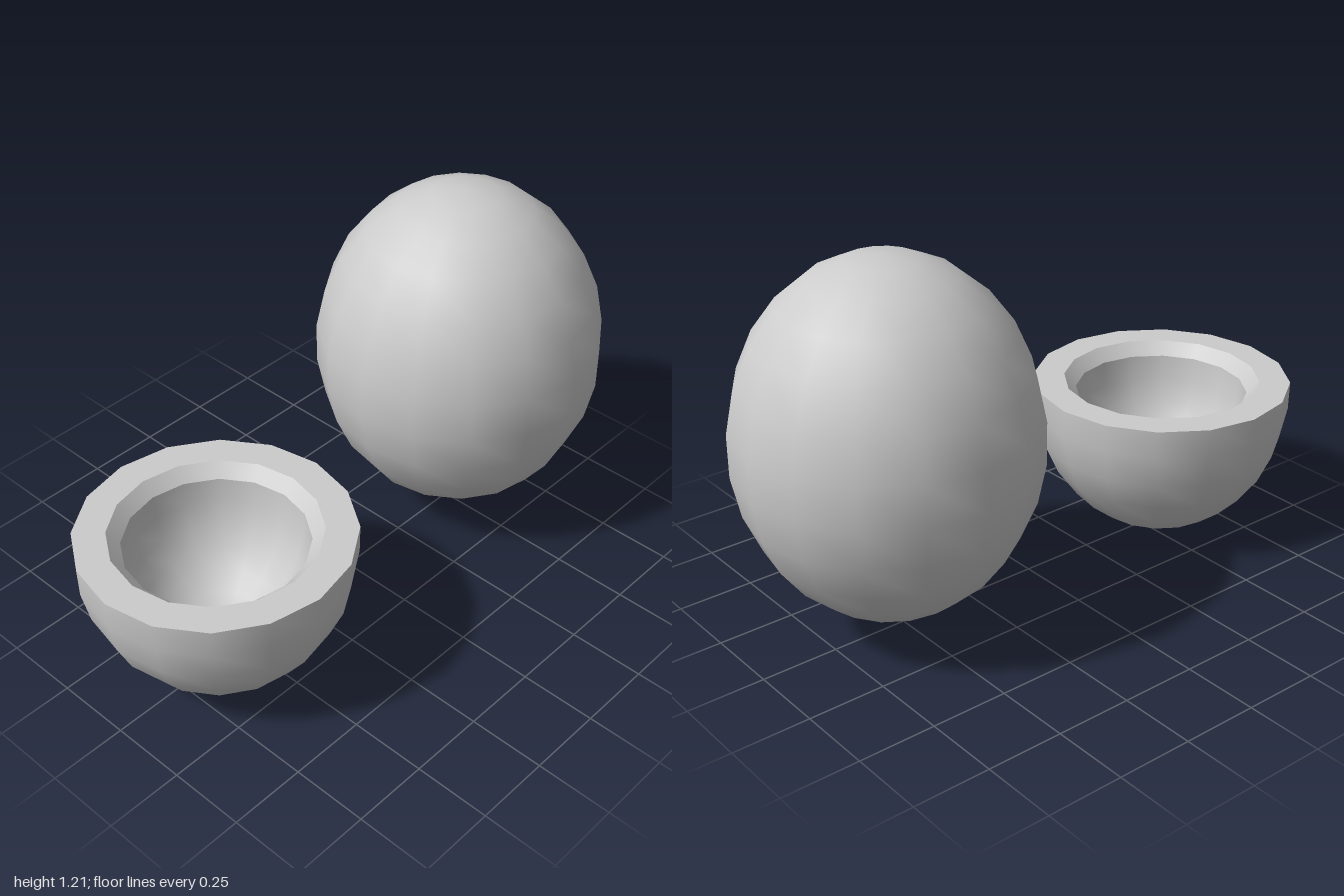
import * as THREE from 'three';

const SIDES = 16;

export function createModel() {
  const model = new THREE.Group();
  const material = new THREE.MeshStandardMaterial({ color: 0xcccccc });

  // Whole egg: a stretched sphere standing behind the cup
  const eggGeometry = new THREE.SphereGeometry(0.47, SIDES, 13);
  eggGeometry.scale(1, 0.565 / 0.47, 1);
  const egg = new THREE.Mesh(eggGeometry, material);
  egg.name = 'egg';
  egg.position.set(0, 0.645, -0.53);
  model.add(egg);

  // Half shell: separate lathes keep the edges between its surfaces sharp
  const halfShell = new THREE.Group();
  halfShell.name = 'halfShell';
  halfShell.position.z = 0.573;
  model.add(halfShell);

  const addLathe = (name, profile) => {
    const points = profile.map(([r, y]) => new THREE.Vector2(r, y));
    const mesh = new THREE.Mesh(new THREE.LatheGeometry(points, SIDES), material);
    mesh.name = name;
    halfShell.add(mesh);
  };

  addLathe('outerShell', [
    [0, 0], [0.105, 0.015], [0.205, 0.062], [0.291, 0.13],
    [0.358, 0.222], [0.402, 0.32], [0.425, 0.43], [0.427, 0.525],
  ]);
  addLathe('rim', [[0.427, 0.525], [0.325, 0.525]]);
  addLathe('innerBevel', [[0.325, 0.525], [0.285, 0.483]]);

  // Rounded hollow below the bevel
  const hollow = [];
  for (let i = 0; i <= 7; i++) {
    const a = (i / 7) * Math.PI / 2;
    hollow.push([0.285 * Math.cos(a), 0.483 - 0.36 * Math.sin(a)]);
  }
  addLathe('hollow', hollow);

  return model;
}
